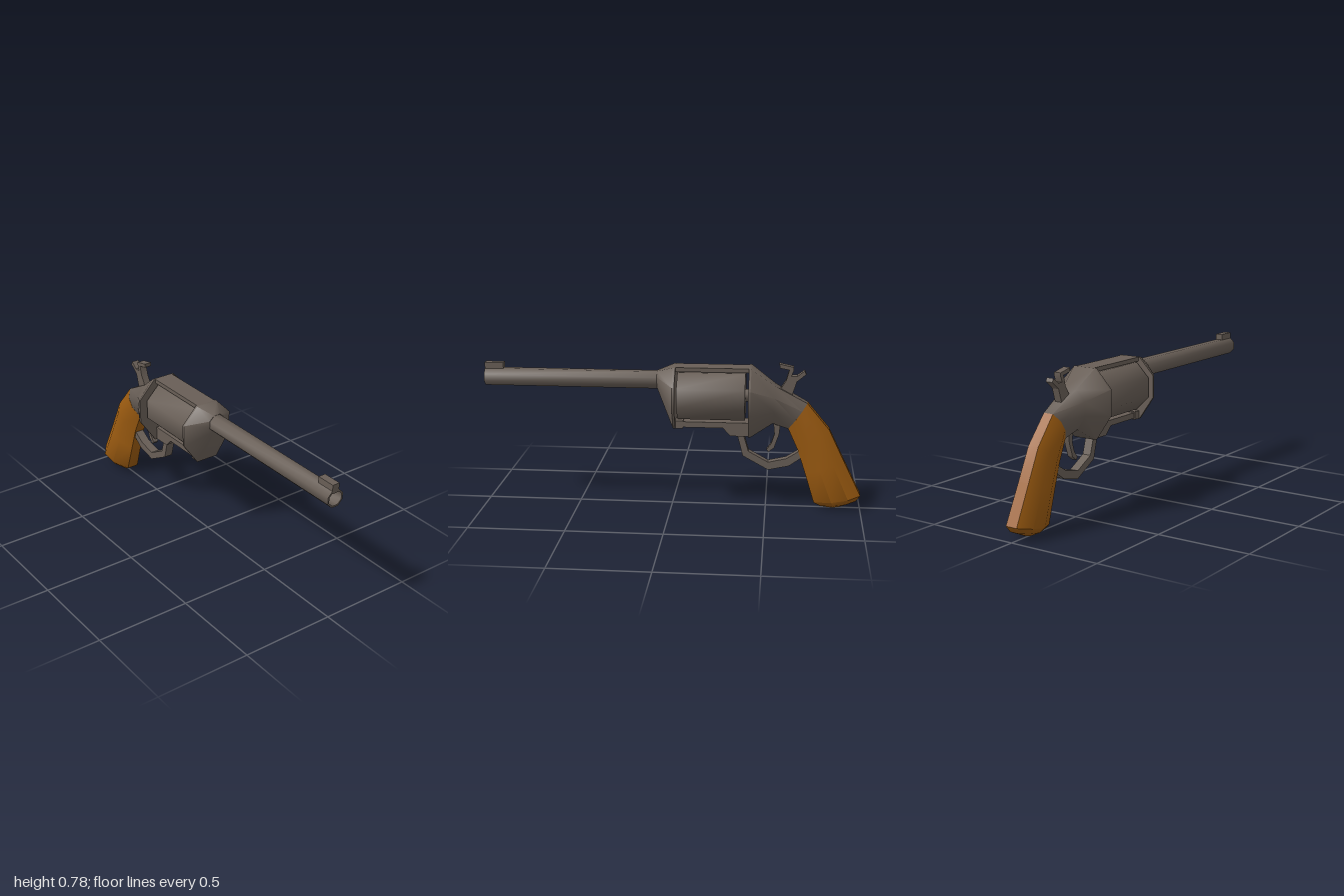
import * as THREE from 'three';
import { toCreasedNormals } from 'three/addons/utils/BufferGeometryUtils.js';

export function createModel() {
  const model = new THREE.Group();
  const steel = new THREE.MeshStandardMaterial({ color: 0x685e56 });
  steel.name = 'steel';
  const wood = new THREE.MeshStandardMaterial({ color: 0x9a5a10 });
  wood.name = 'wood';

  function add(name, geometry, material = steel, crease = 0.82) {
    const mesh = new THREE.Mesh(toCreasedNormals(geometry, crease), material);
    mesh.name = name;
    model.add(mesh);
    return mesh;
  }

  // Side outline in [z, y], extruded symmetrically across x
  function plate(name, points, halfWidth) {
    const shape = new THREE.Shape(points.map(([z, y]) => new THREE.Vector2(z, y)));
    const g = new THREE.ExtrudeGeometry(shape, { depth: halfWidth * 2, bevelEnabled: false });
    g.rotateY(-Math.PI / 2).translate(halfWidth, 0, 0);
    return add(name, g, steel, 0.5);
  }

  function box(name, halfWidth, y0, y1, z0, z1) {
    const g = new THREE.BoxGeometry(halfWidth * 2, y1 - y0, z1 - z0);
    g.translate(0, (y0 + y1) / 2, (z0 + z1) / 2);
    return add(name, g);
  }

  // Eight-sided loft; section = [bottomZ, bottomY, topZ, topY, halfWidth, flatHalfWidth]
  function loft(name, sections, material) {
    const pos = [], index = [];
    for (const [bz, by, tz, ty, w, f] of sections) {
      const ring = [[f, 0], [w, 0.37], [w, 0.73], [f, 1], [-f, 1], [-w, 0.73], [-w, 0.37], [-f, 0]];
      for (const [x, t] of ring) pos.push(x, by + (ty - by) * t, bz + (tz - bz) * t);
    }
    const last = (sections.length - 1) * 8;
    for (let i = 0; i < last; i += 8) {
      for (let j = 0; j < 8; j++) {
        const k = (j + 1) % 8;
        index.push(i + j, i + 8 + j, i + k, i + k, i + 8 + j, i + 8 + k);
      }
    }
    for (let j = 1; j < 7; j++) {
      index.push(0, j, j + 1, last, last + j + 1, last + j);
    }
    const g = new THREE.BufferGeometry();
    g.setAttribute('position', new THREE.Float32BufferAttribute(pos, 3));
    g.setIndex(index);
    return add(name, g.toNonIndexed(), material);
  }

  // Octagonal turned part along z
  function turned(name, points, y) {
    const profile = points.map(([r, z]) => new THREE.Vector2(r, z));
    const g = new THREE.LatheGeometry(profile, 8, Math.PI / 8);
    g.rotateX(Math.PI / 2).translate(0, y, 0);
    return add(name, g);
  }

  // Barrel with hollow muzzle, and front sight
  turned('barrel', [[0.049, 0.06], [0.049, 1], [0.04, 1], [0.04, 0.85], [0, 0.85]], 0.68);
  box('frontSight', 0.02, 0.71, 0.757, 0.9, 1);

  // Frame around the cylinder
  loft('frontFrame', [
    [0.08, 0.637, 0.08, 0.727, 0.046, 0.019],
    [-0.008, 0.43, -0.008, 0.757, 0.146, 0.062],
    [-0.02, 0.43, -0.02, 0.757, 0.146, 0.062],
  ]);
  box('topStrap', 0.055, 0.735, 0.757, -0.41, -0.015);
  plate('bottomStrap', [[-0.015, 0.437], [-0.015, 0.467], [-0.41, 0.467], [-0.41, 0.395],
    [-0.31, 0.395], [-0.27, 0.437]], 0.055);
  box('latchBlock', 0.06, 0.43, 0.472, -0.06, -0.015);
  loft('rearFrame', [
    [-0.403, 0.393, -0.403, 0.757, 0.157, 0.065],
    [-0.415, 0.393, -0.415, 0.757, 0.157, 0.065],
    [-0.53, 0.465, -0.54, 0.665, 0.09, 0.04],
    [-0.612, 0.435, -0.708, 0.574, 0.055, 0.028],
  ]);

  // Cylinder on its axle
  turned('cylinder', [[0, -0.385], [0.135, -0.385], [0.135, -0.03], [0, -0.03]], 0.605);
  turned('axle', [[0.033, -0.41], [0.033, -0.01]], 0.605);

  // Hammer, trigger and guard
  plate('hammer', [[-0.558, 0.779], [-0.633, 0.763], [-0.633, 0.745], [-0.622, 0.715],
    [-0.652, 0.716], [-0.69, 0.745], [-0.698, 0.726], [-0.65, 0.686], [-0.627, 0.61],
    [-0.55, 0.62], [-0.595, 0.692], [-0.61, 0.748], [-0.562, 0.757]], 0.02);
  plate('trigger', [[-0.53, 0.5], [-0.54, 0.4], [-0.525, 0.35], [-0.5, 0.315], [-0.51, 0.302],
    [-0.54, 0.325], [-0.565, 0.4], [-0.575, 0.5]], 0.015);
  plate('triggerGuard', [[-0.342, 0.405], [-0.375, 0.28], [-0.51, 0.206], [-0.62, 0.23],
    [-0.69, 0.28], [-0.675, 0.315], [-0.605, 0.27], [-0.51, 0.248], [-0.405, 0.305],
    [-0.375, 0.405]], 0.024);

  // Wooden grip with a rounded butt
  loft('grip', [
    [-0.612, 0.435, -0.708, 0.574, 0.056, 0.028],
    [-0.665, 0.32, -0.826, 0.434, 0.066, 0.03],
    [-0.708, 0.188, -0.903, 0.275, 0.071, 0.031],
    [-0.756, 0.034, -1, 0.078, 0.081, 0.033],
    [-0.79, 0.014, -0.978, 0.045, 0.06, 0.025],
    [-0.845, 0.001, -0.9, 0.009, 0.015, 0.008],
  ], wood);

  return model;
}
